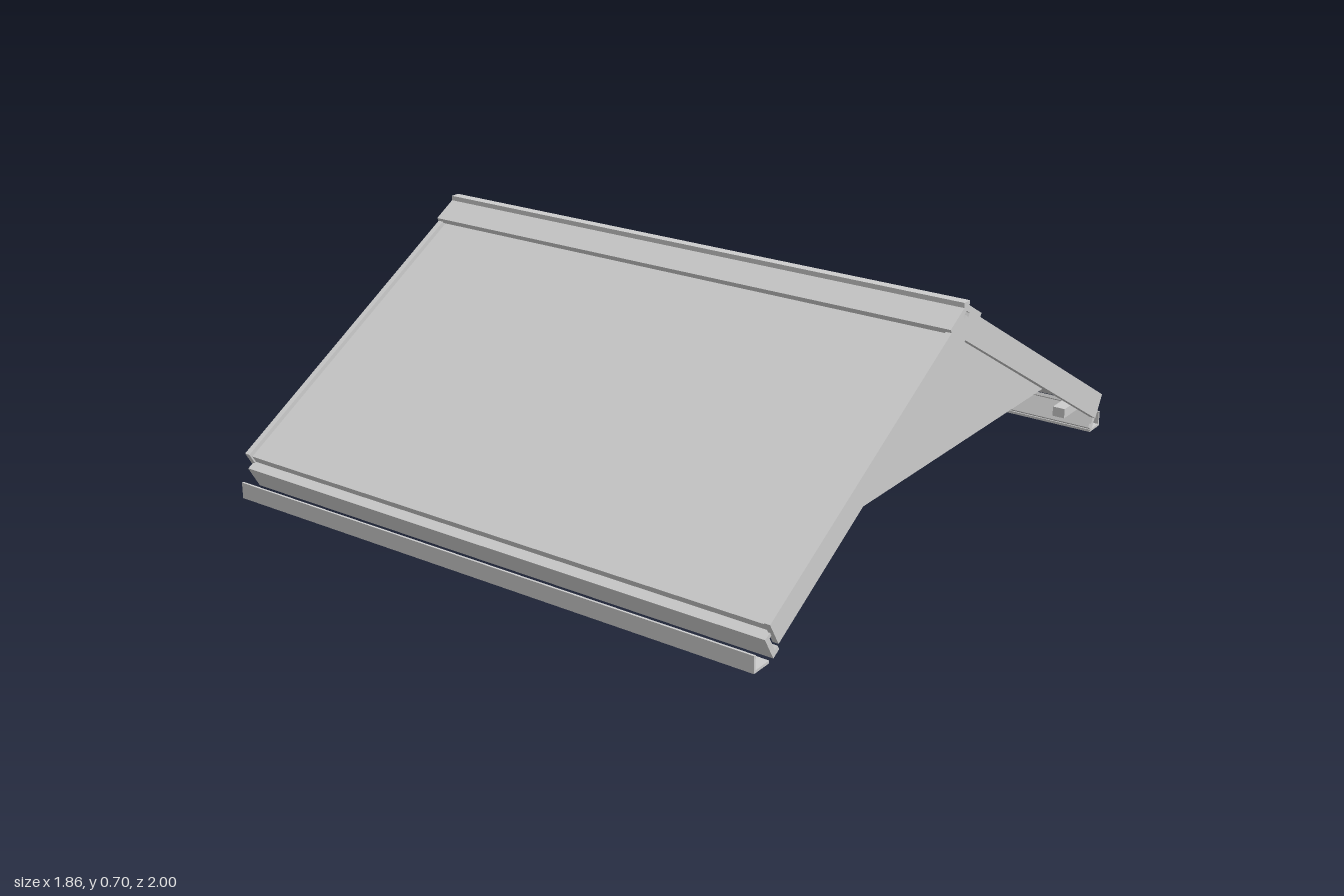
import * as THREE from 'three';

const C = Math.cos(Math.PI / 6), S = 0.5, RIDGE_Y = 0.68;

// Point on the roof section: s runs down the slope, t is square to it (outwards)
const P = (s, t) => [s * C + t * S, RIDGE_Y - s * S + t * C];

// Extrude a closed (z, y) section along x
function alongX(points, x0, x1) {
  const shape = new THREE.Shape(points.map(([z, y]) => new THREE.Vector2(z, y)));
  const g = new THREE.ExtrudeGeometry(shape, { depth: x1 - x0, bevelEnabled: false });
  g.rotateY(-Math.PI / 2);
  g.translate(x1, 0, 0);
  return g;
}

export function createModel() {
  const model = new THREE.Group();
  model.name = 'gableRoof';
  const grey = new THREE.MeshStandardMaterial({ color: 0xcccccc });
  grey.name = 'light grey metal';

  const add = (name, geometry, parent = model) => {
    const mesh = new THREE.Mesh(geometry, grey);
    mesh.name = name;
    parent.add(mesh);
    return mesh;
  };

  for (const side of [1, -1]) {
    const half = new THREE.Group();
    half.name = side > 0 ? 'frontSlope' : 'backSlope';
    model.add(half);
    const part = (name, points, x0, x1) =>
      add(name, alongX(points.map(([z, y]) => [z * side, y]), x0, x1), half);

    // Roof sheet, slightly lower than the edge boards
    part('roofPanel', [P(0.03, -0.014), P(1.105, -0.014), P(1.105, -0.038), P(0.03, -0.038)], -0.915, 0.915);

    // Edge boards along both gables, notched at the ridge
    const barge = [P(0.025, 0), P(1.11, 0), P(1.11, -0.08), [0, 0.588], [0, 0.637]];
    part('leftBargeBoard', barge, 0.912, 0.93);
    part('rightBargeBoard', barge, -0.93, -0.912);

    // Channel-shaped eave board, tucked under the sheet
    part('fascia', [
      P(1.1, -0.04), P(1.135, -0.036), P(1.135, -0.115), P(1.105, -0.115),
      P(1.105, -0.1), P(1.119, -0.1), P(1.119, -0.05), P(1.1, -0.05),
    ], -0.918, 0.918);

    // Ridge cap wing
    part('ridgeCapWing', [[0, 0.694], P(0.095, 0.012), P(0.095, -0.006), [0, 0.673]], -0.93, 0.93);

    // Angle-shaped gutter
    part('gutter', [[0.932, 0], [1, 0], [1, 0.05], [0.993, 0.05], [0.993, 0.008], [0.932, 0.008]], -0.91, 0.91);

    // Row of eave brackets running up into the sheet
    for (let i = 0; i < 8; i++) {
      const x = -0.86 + i * (1.72 / 7);
      part('eaveBracket', [[0.795, 0.085], [0.935, 0.085], [0.935, 0.1], [0.91, 0.116], [0.795, 0.116]], x - 0.02, x + 0.02);
    }
  }

  // Bead and small square rail at the ridge
  const bead = add('ridgeBead', new THREE.BoxGeometry(1.86, 0.018, 0.03));
  bead.position.y = 0.691;
  const rail = add('ridgeRail', new THREE.BoxGeometry(1.86, 0.022, 0.022));
  rail.position.y = 0.645;
  rail.rotation.x = Math.PI / 4;

  // Gable walls set back from the ends
  for (const x of [-0.775, 0.775]) {
    add('gableWall', alongX([[-0.81, 0.16], [0.81, 0.16], [0, 0.63]], x - 0.018, x + 0.018));
  }
  return model;
}
